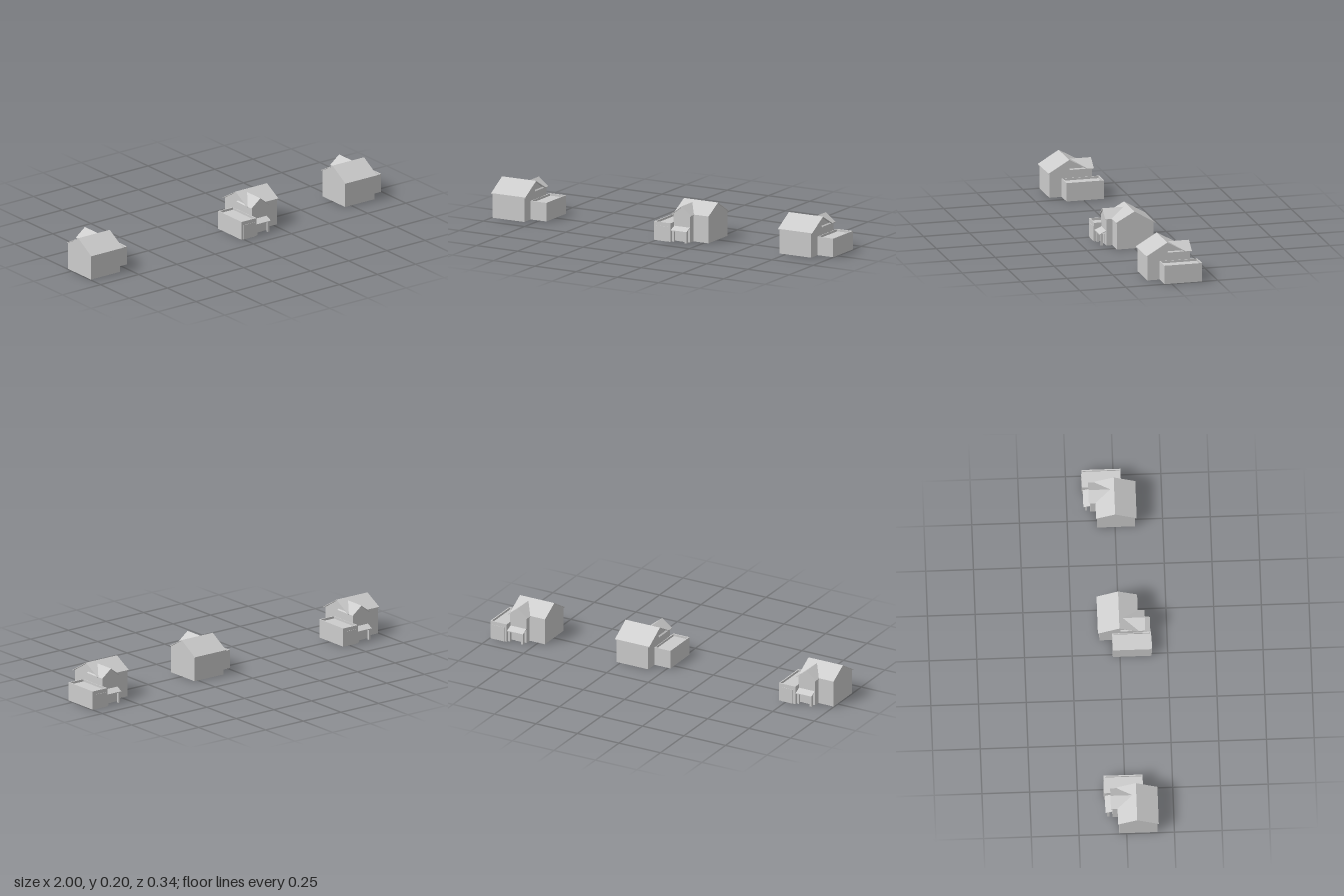
import * as THREE from 'three';

const material = new THREE.MeshStandardMaterial({ color: 0xcccccc, flatShading: true });

function mesh(name, geometry) {
  const m = new THREE.Mesh(geometry, material);
  m.name = name;
  return m;
}

// Box given by its limits on each axis
function box(name, x0, x1, y0, y1, z0, z1) {
  const g = new THREE.BoxGeometry(x1 - x0, y1 - y0, z1 - z0);
  g.translate((x0 + x1) / 2, (y0 + y1) / 2, (z0 + z1) / 2);
  return mesh(name, g);
}

function prism(points, depth) {
  const shape = new THREE.Shape(points.map(([a, b]) => new THREE.Vector2(a, b)));
  return new THREE.ExtrudeGeometry(shape, { depth, bevelEnabled: false });
}

// Outline in (z, y), run along x
function alongX(name, points, x0, x1) {
  return mesh(name, prism(points, x1 - x0).rotateY(-Math.PI / 2).translate(x1, 0, 0));
}

// Outline in (x, y), run along z
function alongZ(name, points, z0, z1) {
  return mesh(name, prism(points, z1 - z0).translate(0, 0, z0));
}

// Thin bent roof sheet: upper line, then the same line lowered
function sheet(line, t = 0.004) {
  return [...line, ...line.map(([a, b]) => [a, b - t]).reverse()];
}

function createHouse() {
  const house = new THREE.Group();

  // Main body under an uneven gable roof
  house.add(alongX('mainWalls',
    [[-0.105, 0], [0.094, 0], [0.094, 0.144], [0, 0.197], [-0.105, 0.134]], -0.051, 0.141));
  house.add(alongX('mainRoof',
    sheet([[-0.113, 0.134], [0, 0.201], [0.1, 0.146]]), -0.062, 0.145));

  // Front gable bay
  house.add(alongZ('gableWalls',
    [[-0.05, 0], [0.05, 0], [0.05, 0.146], [0, 0.186], [-0.05, 0.146]], 0, 0.127));
  house.add(alongZ('gableRoof',
    sheet([[-0.058, 0.145], [0, 0.19], [0.058, 0.145]]), 0.005, 0.135));

  // Porch with lean-to roof, posts and door
  house.add(alongX('porchRoof', sheet([[0.126, 0.08], [0.163, 0.063]]), -0.047, 0.048));
  for (const s of [-1, 1]) {
    const x = s * 0.039;
    house.add(box('porchPost', x - 0.006, x + 0.006, 0, 0.063, 0.143, 0.155));
  }
  house.add(box('frontDoor', -0.016, 0.016, 0, 0.055, 0.12, 0.129));

  // Flat-roofed garage with a parapet rim
  const [x0, x1, z0, z1] = [-0.146, -0.048, -0.038, 0.166];
  const rim = 0.006;
  house.add(box('garageWalls', x0, x1, 0, 0.088, z0, z1));
  house.add(box('parapet', x0, x0 + rim, 0.088, 0.1, z0, z1));
  house.add(box('parapet', x1 - rim, x1, 0.088, 0.1, z0, z1));
  house.add(box('parapet', x0 + rim, x1 - rim, 0.088, 0.1, z0, z0 + rim));
  house.add(box('parapet', x0 + rim, x1 - rim, 0.088, 0.1, z1 - rim, z1));
  house.add(box('garageDoor', x0 + 0.014, x1 - 0.014, 0, 0.08, z1 - 0.004, z1 + 0.002));

  return house;
}

export function createModel() {
  const model = new THREE.Group();
  model.name = 'houses';
  // Three equal houses: the middle one faces front, the outer two face back
  const places = [
    ['rightHouse', -0.855, 0.055, Math.PI],
    ['middleHouse', 0.133, 0, 0],
    ['leftHouse', 0.852, 0, Math.PI],
  ];
  for (const [name, x, z, turn] of places) {
    const house = createHouse();
    house.name = name;
    house.position.set(x, 0, z);
    house.rotation.y = turn;
    model.add(house);
  }
  return model;
}
